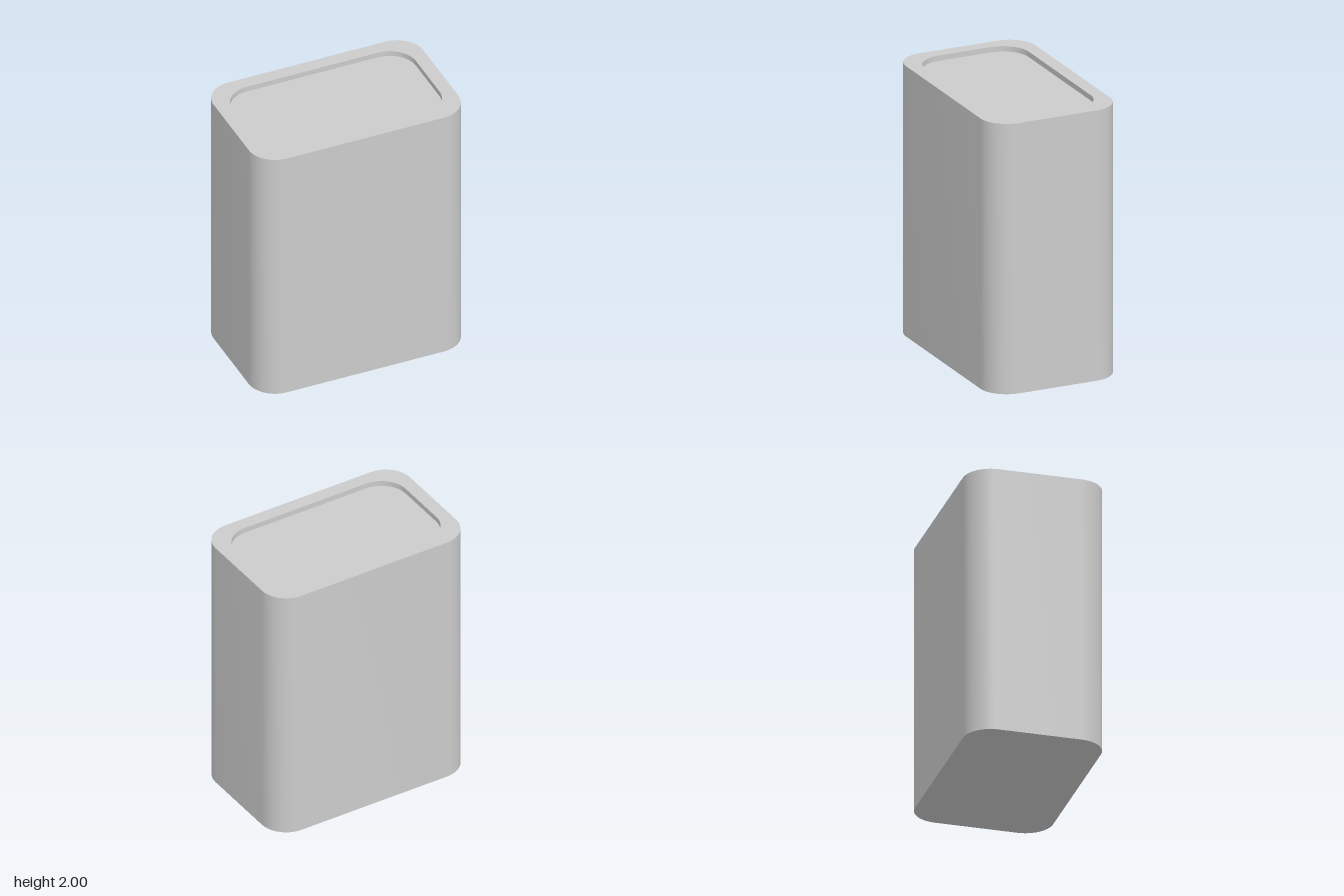
import * as THREE from 'three';
import { toCreasedNormals } from 'three/addons/utils/BufferGeometryUtils.js';

const RADIUS = 0.2, STEPS = 12;

// Rounded-rectangle ring at height y; zero half-sizes give the centre point.
function ring(halfX, halfZ, y) {
  const points = [];
  const r = Math.min(RADIUS, halfX, halfZ);
  const corners = [[1, 1], [-1, 1], [-1, -1], [1, -1]];
  corners.forEach(([sx, sz], q) => {
    for (let i = 0; i <= STEPS; i++) {
      const a = (q + i / STEPS) * Math.PI / 2;
      points.push(new THREE.Vector3(
        sx * (halfX - r) + r * Math.cos(a), y, sz * (halfZ - r) + r * Math.sin(a)));
    }
  });
  return points;
}

// Skin a list of rings, dropping triangles that collapse at the centre.
function skin(rings) {
  const positions = [];
  const tri = (a, b, c) => {
    if (new THREE.Triangle(a, b, c).getArea() < 1e-9) return;
    for (const p of [a, b, c]) positions.push(p.x, p.y, p.z);
  };
  for (let k = 0; k < rings.length - 1; k++) {
    const lower = rings[k], upper = rings[k + 1], n = lower.length;
    for (let i = 0; i < n; i++) {
      const j = (i + 1) % n;
      tri(lower[i], upper[i], upper[j]);
      tri(lower[i], upper[j], lower[j]);
    }
  }
  const geometry = new THREE.BufferGeometry();
  geometry.setAttribute('position', new THREE.Float32BufferAttribute(positions, 3));
  return toCreasedNormals(geometry, Math.PI / 6);
}

export function createModel() {
  const group = new THREE.Group();
  group.name = 'roundedContainer';

  // Solid body with a raised rim around a shallow recessed top
  const floorY = 1.96;
  const body = new THREE.Mesh(
    skin([
      ring(0, 0, 0),
      ring(0.8, 0.5, 0),
      ring(0.8, 0.5, 2),
      ring(0.7, 0.4, 2),
      ring(0.7, 0.4, floorY),
      ring(0, 0, floorY),
    ]),
    new THREE.MeshStandardMaterial({ color: 0xcccccc }));
  body.name = 'bodyWithRecessedTop';
  group.add(body);
  return group;
}
